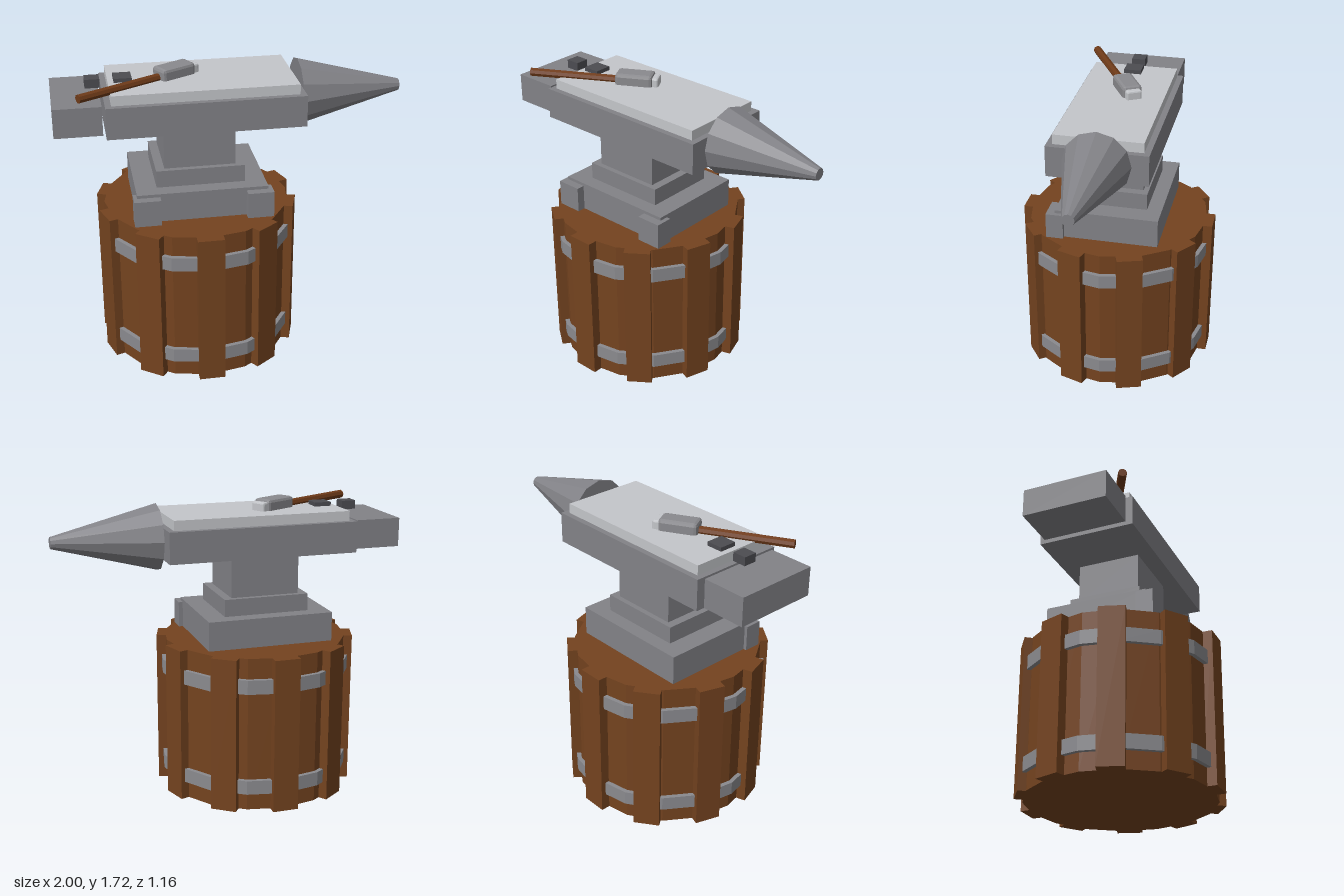
import * as THREE from 'three';
import { RoundedBoxGeometry } from 'three/addons/geometries/RoundedBoxGeometry.js';

function flat(name, color) {
  const m = new THREE.MeshStandardMaterial({ color, flatShading: true });
  m.name = name;
  return m;
}

export function createModel() {
  const wood = flat('wood', 0x74431f);
  const handleWood = flat('handle wood', 0x6e3a18);
  const iron = flat('iron', 0x828287);
  const bandSteel = flat('band steel', 0x8a8a8e);
  const brightSteel = flat('bright steel', 0xc4c6ca);
  const darkIron = flat('dark iron', 0x4c4c51);

  const model = new THREE.Group();
  model.name = 'anvilOnBarrel';

  function add(parent, name, geometry, material, x = 0, y = 0, z = 0) {
    const mesh = new THREE.Mesh(geometry, material);
    mesh.name = name;
    mesh.position.set(x, y, z);
    parent.add(mesh);
    return mesh;
  }

  // Box given by its extents on each axis
  function block(parent, name, material, [x0, x1], [y0, y1], [z0, z1]) {
    return add(parent, name, new THREE.BoxGeometry(x1 - x0, y1 - y0, z1 - z0), material,
      (x0 + x1) / 2, (y0 + y1) / 2, (z0 + z1) / 2);
  }

  // Barrel: core, two hoops and ten raised staves
  const barrel = new THREE.Group();
  barrel.name = 'barrel';
  barrel.position.x = -0.197;
  model.add(barrel);
  const height = 0.91;
  add(barrel, 'barrelCore', new THREE.CylinderGeometry(0.54, 0.54, height, 16), wood, 0, height / 2, 0);
  for (const y of [0.145, 0.75]) {
    add(barrel, 'hoop', new THREE.CylinderGeometry(0.565, 0.565, 0.083, 16), bandSteel, 0, y, 0);
  }
  for (let i = 0; i < 10; i++) {
    const a = (i / 10) * Math.PI * 2;
    const r = 0.54;
    const stave = add(barrel, 'stave', new THREE.BoxGeometry(0.15, height, 0.08), wood,
      Math.sin(a) * r, height / 2, Math.cos(a) * r);
    stave.rotation.y = a;
  }

  // Anvil: stepped base, waist, body, face plate and heel
  const anvil = new THREE.Group();
  anvil.name = 'anvil';
  model.add(anvil);
  block(anvil, 'base', iron, [-0.57, 0.175], [0.91, 1.08], [-0.303, 0.303]);
  block(anvil, 'rightFoot', iron, [-0.59, -0.44], [0.91, 1.062], [0.25, 0.352]);
  block(anvil, 'leftFoot', iron, [0.05, 0.2], [0.91, 1.062], [0.25, 0.352]);
  block(anvil, 'baseStep', iron, [-0.45, 0.055], [1.08, 1.18], [-0.217, 0.217]);
  block(anvil, 'waist', iron, [-0.4, 0.005], [1.18, 1.42], [-0.186, 0.186]);
  block(anvil, 'body', iron, [-0.717, 0.392], [1.42, 1.6], [-0.286, 0.286]);
  block(anvil, 'facePlate', brightSteel, [-0.683, 0.357], [1.6, 1.657], [-0.252, 0.252]);
  block(anvil, 'heel', iron, [-1, -0.733], [1.433, 1.6], [-0.25, 0.25]);
  block(anvil, 'hardyPeg', darkIron, [-0.81, -0.727], [1.63, 1.68], [-0.043, 0.037]);
  block(anvil, 'hardyHole', darkIron, [-0.65, -0.55], [1.63, 1.68], [-0.053, 0.05]);

  // Horn points to +x
  const horn = add(anvil, 'horn', new THREE.CylinderGeometry(0.034, 0.192, 0.605, 12), iron, 0.6975, 1.525, 0);
  horn.rotation.z = -Math.PI / 2;

  // Hammer lying across the face
  const hammer = new THREE.Group();
  hammer.name = 'hammer';
  hammer.position.set(-0.307, 1.667, -0.02);
  hammer.rotation.y = THREE.MathUtils.degToRad(29);
  model.add(hammer);
  add(hammer, 'hammerHead', new RoundedBoxGeometry(0.22, 0.108, 0.115, 1, 0.018), bandSteel);
  add(hammer, 'hammerFace', new RoundedBoxGeometry(0.06, 0.08, 0.09, 1, 0.01), brightSteel, 0.113, 0, 0);
  const handle = add(hammer, 'handle', new THREE.CylinderGeometry(0.025, 0.025, 0.56, 8), handleWood, -0.35, 0, 0);
  handle.rotation.z = Math.PI / 2;

  return model;
}
